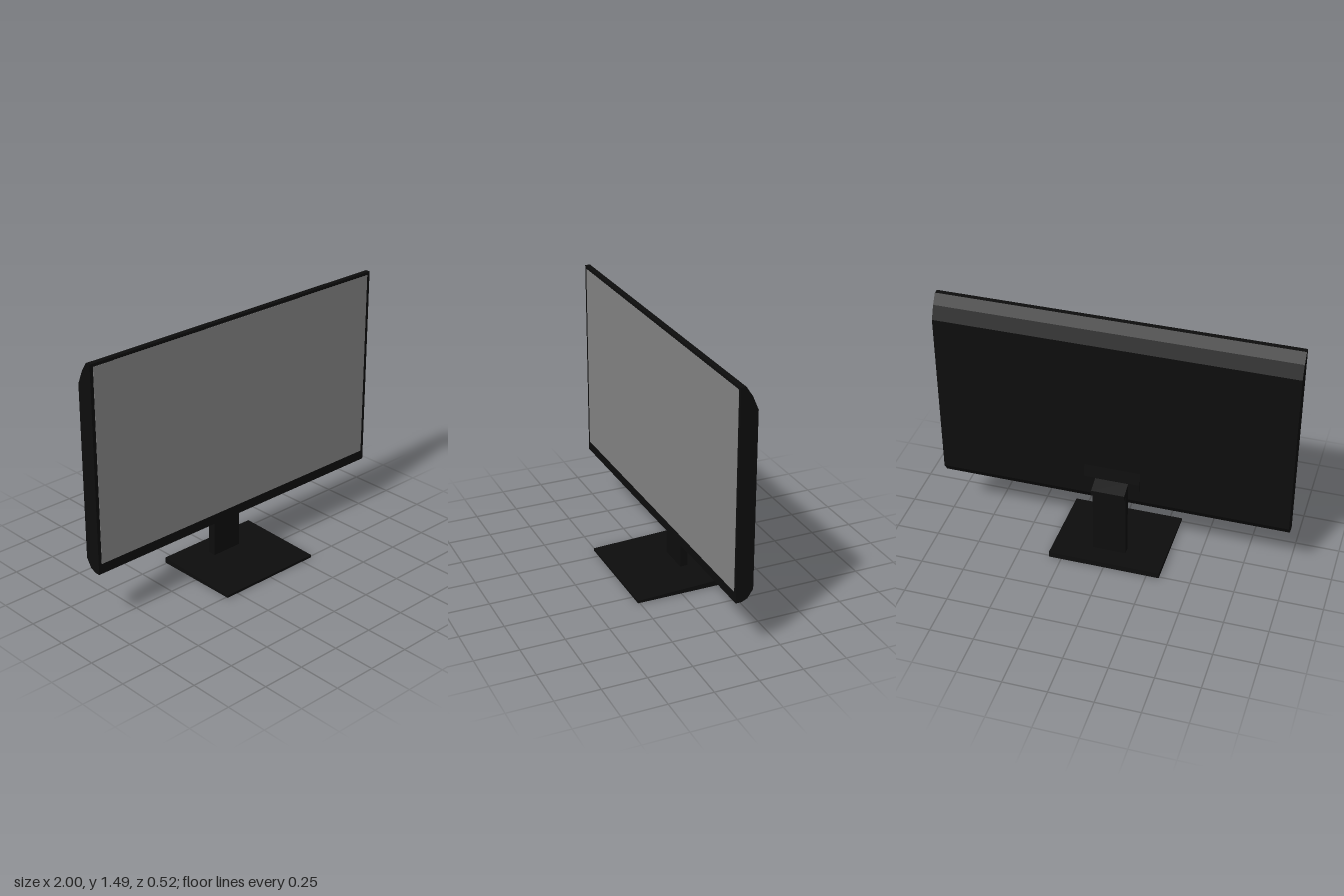
import * as THREE from 'three';

export function createModel() {
  const model = new THREE.Group();
  const black = new THREE.MeshStandardMaterial({ name: 'black plastic', color: 0x0d0d0d });
  const grey = new THREE.MeshStandardMaterial({ name: 'screen grey', color: 0x848484 });

  const add = (name, geometry, material, x = 0, y = 0, z = 0) => {
    const mesh = new THREE.Mesh(geometry, material);
    mesh.name = name;
    mesh.position.set(x, y, z);
    model.add(mesh);
  };

  // Extrude a side profile of [z, y] points across the given width, centred on x
  const sideExtrude = (points, width) => {
    const shape = new THREE.Shape(points.map(([z, y]) => new THREE.Vector2(-z, y)));
    return new THREE.ExtrudeGeometry(shape, { depth: width, bevelEnabled: false })
      .translate(0, 0, -width / 2)
      .rotateY(Math.PI / 2);
  };

  // Housing with chamfered top and bottom back edges
  add('housing', sideExtrude([
    [0.015, 0.312], [-0.016, 0.312], [-0.05, 0.327], [-0.082, 0.375],
    [-0.082, 1.36], [-0.05, 1.435], [-0.014, 1.49], [0.015, 1.49],
  ], 2), black);

  // Display surface, leaving a thin frame and a taller lower edge
  add('screen', new THREE.BoxGeometry(1.96, 1.103, 0.004), grey, 0, 0.9215, 0.0145);

  // Wedge on the back and the sloping cap over the neck
  add('mountWedge', sideExtrude([
    [-0.08, 0.45], [-0.092, 0.455], [-0.092, 0.495], [-0.082, 0.57], [-0.08, 0.57],
  ], 0.32), black);
  add('neckCap', sideExtrude([
    [-0.08, 0.465], [-0.172, 0.432], [-0.172, 0.465], [-0.08, 0.497],
  ], 0.19), black);

  // Upright neck
  add('neck', new THREE.BoxGeometry(0.19, 0.44, 0.046), black, 0, 0.24, -0.12);

  // Foot plate, thinner towards the front
  add('base', sideExtrude([
    [0.26, 0], [-0.26, 0], [-0.26, 0.033], [0.26, 0.015],
  ], 0.645), black);

  return model;
}
